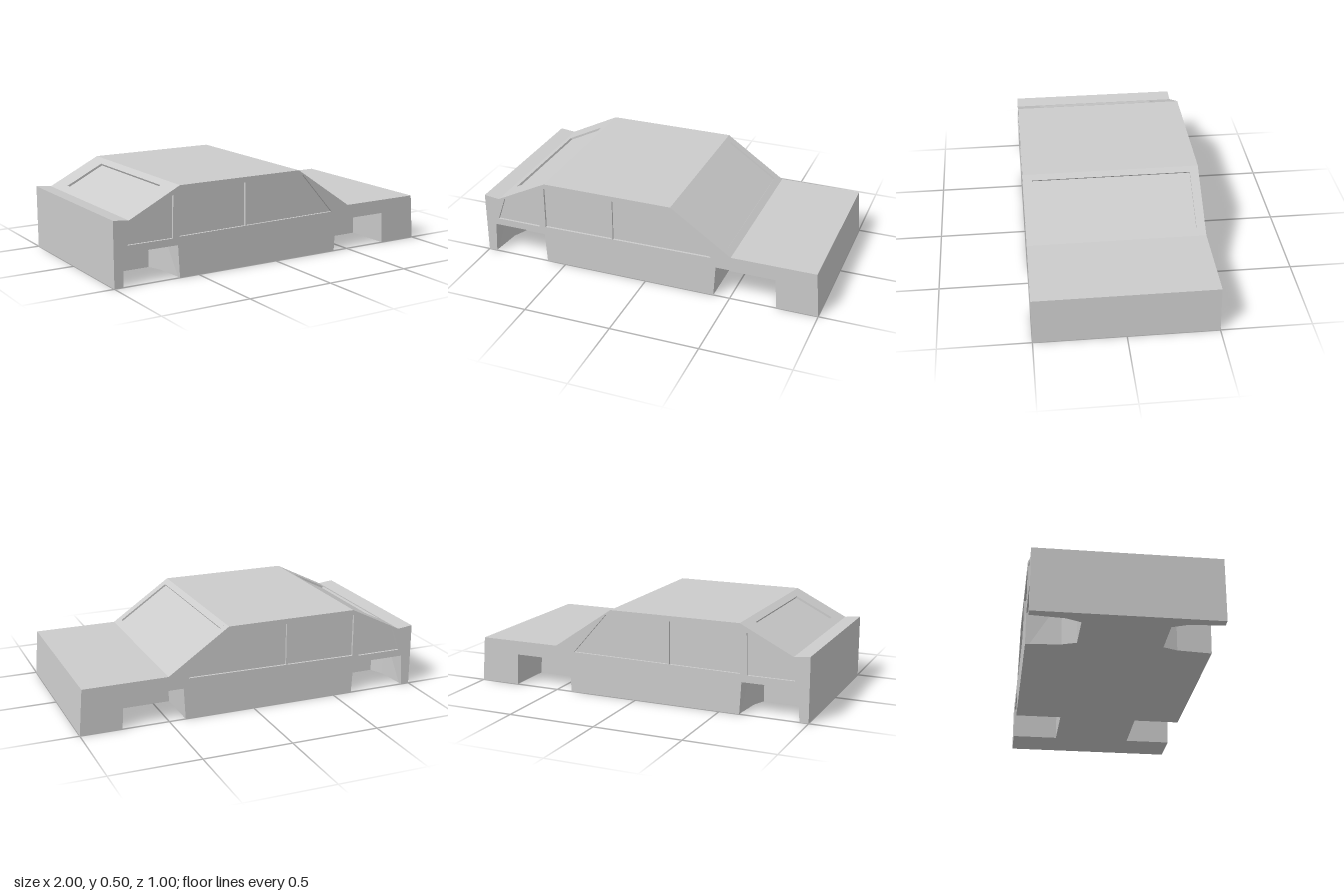
import * as THREE from 'three';

const WELL_TOP = 0.18, WELL_IN = 0.23, PANE_Z = 0.487, HALF = 0.5;

// Side windows, as x/y outlines
const doorWindow = [[-0.615, 0.225], [0.385, 0.235], [0.18, 0.47], [-0.615, 0.47]];
const quarterWindow = [[-0.92, 0.22], [-0.655, 0.22], [-0.65, 0.452], [-0.872, 0.357]];

const toVectors = (pts) => pts.map(([x, y]) => new THREE.Vector2(x, y));

// Sunken stretch of a sloping profile edge between a and b
function recess(a, b, depth) {
  const len = Math.hypot(b[0] - a[0], b[1] - a[1]);
  const nx = -(b[1] - a[1]) / len * depth, ny = (b[0] - a[0]) / len * depth;
  return [a, [a[0] + nx, a[1] + ny], [b[0] + nx, b[1] + ny], b];
}

// Side outline of the body, counter-clockwise from the rear bottom corner
function bodyProfile({ wells, windscreen, rearWindow }) {
  const p = [[-1, 0]];
  if (wells) {
    p.push([-0.95, 0], [-0.94, WELL_TOP], [-0.625, WELL_TOP], [-0.615, 0]);
    p.push([0.405, 0], [0.415, WELL_TOP], [0.755, WELL_TOP], [0.765, 0]);
  }
  p.push([1, 0], [0.98, 0.26], [0.5, 0.26]);
  if (windscreen) p.push(...recess([0.465, 0.284], [0.181, 0.479], 0.01));
  p.push([0.15, 0.5], [-0.61, 0.5]);
  if (rearWindow) p.push(...recess([-0.65, 0.48], [-0.865, 0.3725], 0.012));
  p.push([-0.91, 0.35], [-1, 0.36]);
  return p;
}

export function createModel() {
  const car = new THREE.Group();
  car.name = 'carBody';
  const material = new THREE.MeshStandardMaterial({ color: 0xcccccc, flatShading: true });

  const add = (name, geometry) => {
    const mesh = new THREE.Mesh(geometry, material);
    mesh.name = name;
    car.add(mesh);
    return mesh;
  };

  const slab = (name, z0, z1, options) => {
    const shape = new THREE.Shape(toVectors(bodyProfile(options)));
    for (const hole of options.holes ?? []) shape.holes.push(new THREE.Path(toVectors(hole)));
    const geometry = new THREE.ExtrudeGeometry(shape, { depth: z1 - z0, bevelEnabled: false });
    add(name, geometry.translate(0, 0, z0));
  };

  // Same slab on both sides of the car
  const slabPair = (name, z0, z1, options) => {
    slab(name + 'Left', z0, z1, options);
    slab(name + 'Right', -z1, -z0, options);
  };

  // Centre of the body, then slices outward with wheel wells and window recesses
  slab('bodyCore', -WELL_IN, WELL_IN, { windscreen: true, rearWindow: true });
  slabPair('innerBody', WELL_IN, 0.36, { wells: true, windscreen: true, rearWindow: true });
  slabPair('outerBody', 0.36, 0.45, { wells: true, windscreen: true });
  slabPair('sideBody', 0.45, PANE_Z, { wells: true });
  slabPair('sideSkin', PANE_Z, HALF, { wells: true, holes: [doorWindow, quarterWindow] });

  // Tapered end walls inside the rear wheel wells, as x/z footprints
  const wellWalls = {
    rearWellBackWall: [[-0.952, 0.5], [-0.935, 0.31], [-0.9, WELL_IN], [-0.952, WELL_IN]],
    rearWellFrontWall: [[-0.613, 0.5], [-0.613, WELL_IN], [-0.66, WELL_IN], [-0.63, 0.31]],
  };
  for (const side of [1, -1]) {
    for (const [name, outline] of Object.entries(wellWalls)) {
      const shape = new THREE.Shape(toVectors(outline.map(([x, z]) => [x, -z * side])));
      const geometry = new THREE.ExtrudeGeometry(shape, { depth: WELL_TOP, bevelEnabled: false });
      add(name, geometry.rotateX(-Math.PI / 2));
    }
    // Thin pillar between the front and rear door windows
    const pillar = add('doorPillar', new THREE.BoxGeometry(0.008, 0.242, 0.012));
    pillar.position.set(-0.2, 0.349, side * (PANE_Z + 0.006));
  }
  return car;
}
